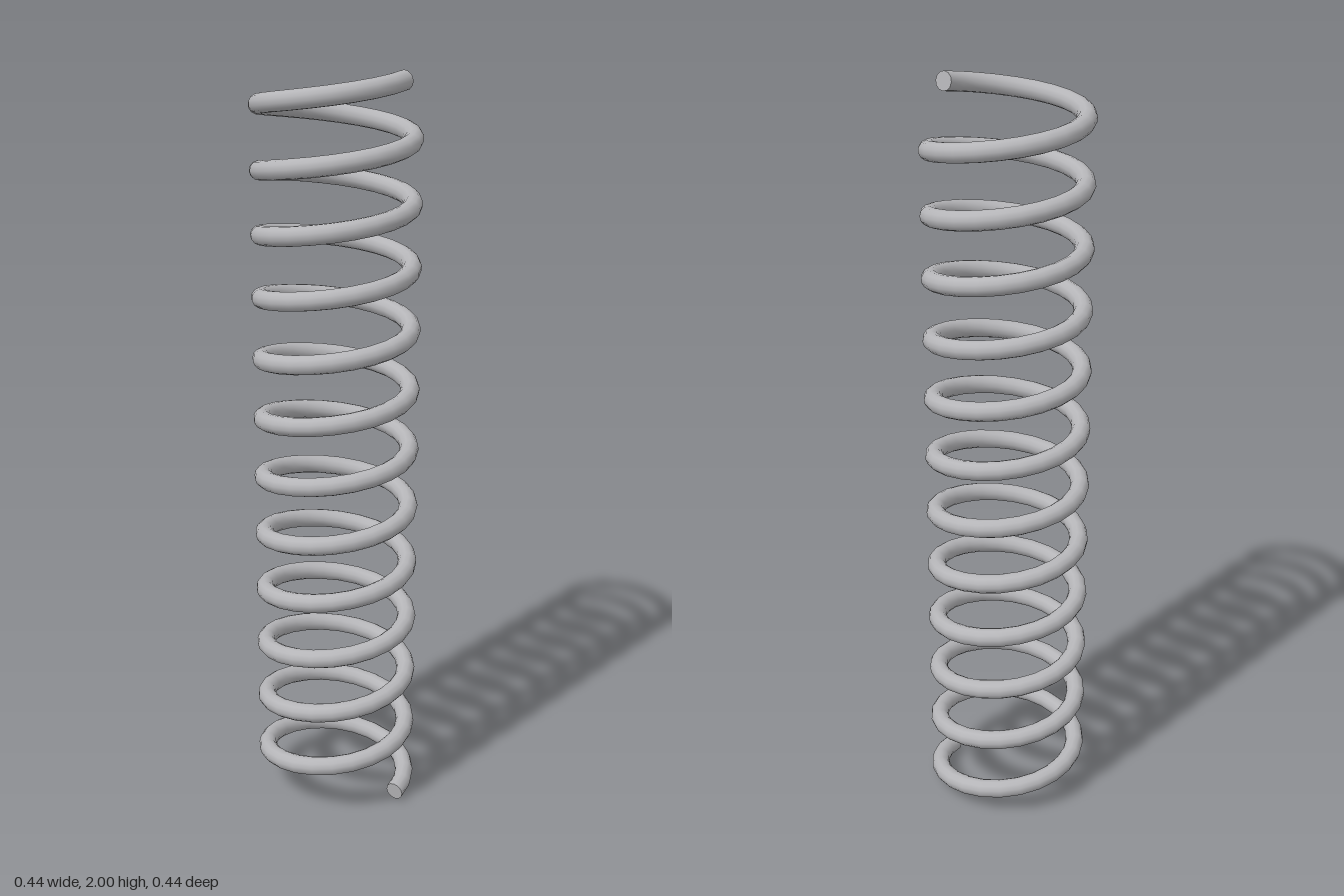
import * as THREE from 'three';

const TURNS = 12, COIL_RADIUS = 0.195, WIRE_RADIUS = 0.025, HEIGHT = 2;
const STEPS_PER_TURN = 24, SIDES = 12;

// Centre line of the wire: starts at +x and climbs towards the back first
class Helix extends THREE.Curve {
  getPoint(t, target = new THREE.Vector3()) {
    const a = t * TURNS * Math.PI * 2;
    return target.set(
      COIL_RADIUS * Math.cos(a),
      WIRE_RADIUS + t * (HEIGHT - 2 * WIRE_RADIUS),
      -COIL_RADIUS * Math.sin(a)
    );
  }
}

export function createModel() {
  const group = new THREE.Group();
  group.name = 'coilSpring';
  const steel = new THREE.MeshStandardMaterial({ color: 0xb5b5b8 });
  steel.name = 'steel';

  // Coiled wire
  const helix = new Helix();
  const steps = TURNS * STEPS_PER_TURN;
  const tube = new THREE.TubeGeometry(helix, steps, WIRE_RADIUS, SIDES, false);
  const coil = new THREE.Mesh(tube, steel);
  coil.name = 'coil';
  group.add(coil);

  // Flat discs closing the cut ends, aligned with the tube's own frames
  for (const [name, i] of [['bottomEnd', 0], ['topEnd', steps]]) {
    const disc = new THREE.CircleGeometry(WIRE_RADIUS, SIDES);
    if (i === 0) disc.rotateY(Math.PI);
    disc.applyMatrix4(new THREE.Matrix4()
      .makeBasis(tube.normals[i], tube.binormals[i], tube.tangents[i])
      .setPosition(helix.getPoint(i / steps)));
    const cap = new THREE.Mesh(disc, steel);
    cap.name = name;
    group.add(cap);
  }
  return group;
}
